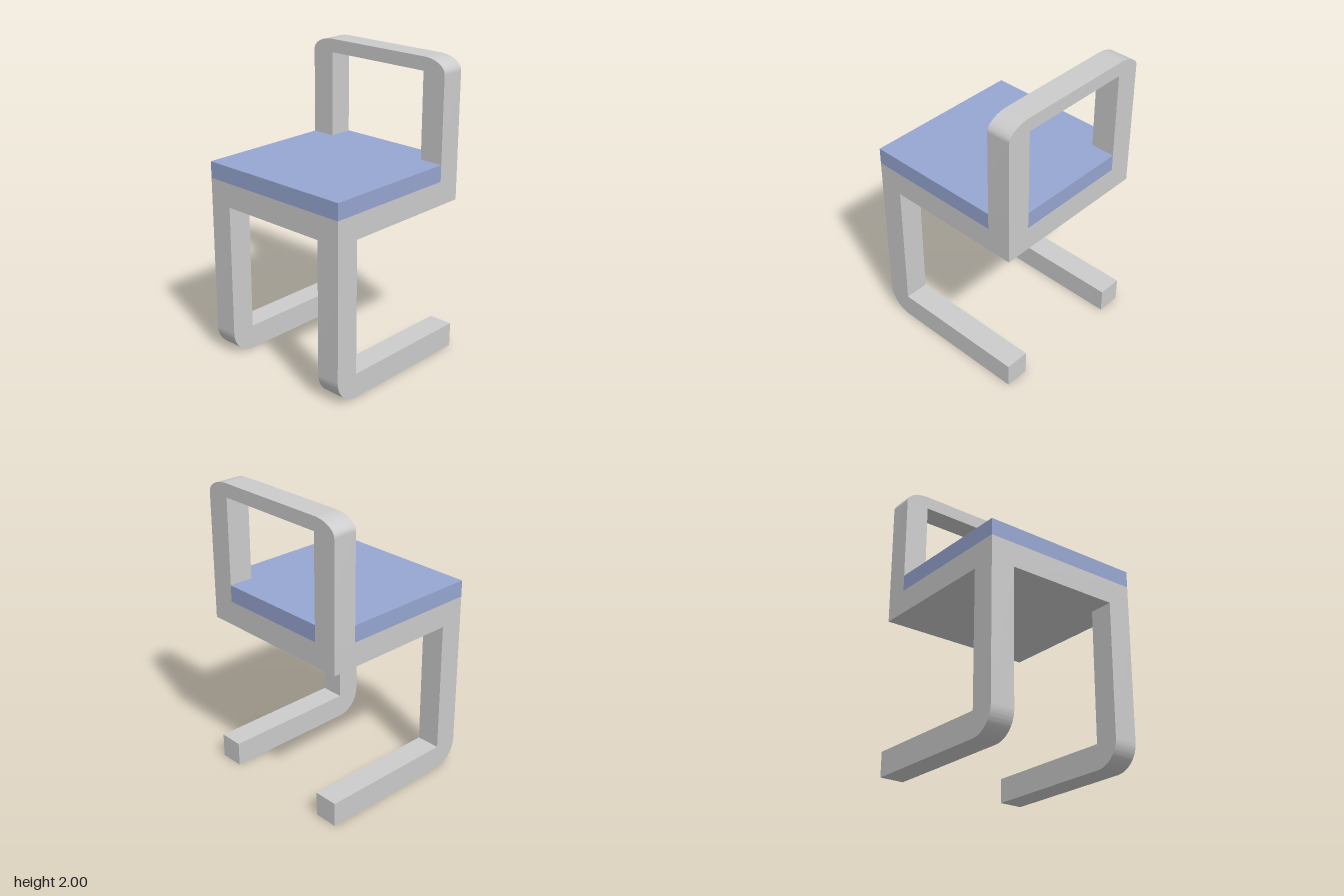
import * as THREE from 'three';
import { toCreasedNormals } from 'three/addons/utils/BufferGeometryUtils.js';

const H = 0.555;    // half width and half depth
const I = 0.39;     // inner face of the bars
const T = H - I;    // bar thickness
const FRAME_Y = 1.06, SEAT_Y = 1.222, SEAT_TOP = 1.333, RAIL_Y = 1.91, TOP = 2;

const frameMat = new THREE.MeshStandardMaterial({ color: 0xcccccc });
const seatMat = new THREE.MeshStandardMaterial({ color: 0x96a6d1 });

// Extrude a shape, keeping rounded corners smooth and edges sharp
function extrude(shape, depth) {
  const geo = new THREE.ExtrudeGeometry(shape, { depth, bevelEnabled: false, curveSegments: 16 });
  return toCreasedNormals(geo, 0.5);
}

function add(group, name, geo, mat) {
  const mesh = new THREE.Mesh(geo, mat);
  mesh.name = name;
  group.add(mesh);
  return mesh;
}

export function createModel() {
  const chair = new THREE.Group();
  chair.name = 'chair';

  // L-shaped legs: front upright, rounded heel, runner going back
  const leg = new THREE.Shape();
  leg.moveTo(-H, 0);
  leg.lineTo(I, 0);
  leg.absellipse(I, T, T, T, -Math.PI / 2, 0, false);
  leg.lineTo(H, FRAME_Y);
  leg.lineTo(I, FRAME_Y);
  leg.lineTo(I, T);
  leg.lineTo(-H, T);
  leg.closePath();
  const legGeo = extrude(leg, T).rotateY(-Math.PI / 2);
  add(chair, 'leftLeg', legGeo, frameMat).position.x = H;
  add(chair, 'rightLeg', legGeo, frameMat).position.x = -I;

  // Slab under the seat
  const slab = add(chair, 'seatFrame', new THREE.BoxGeometry(2 * H, SEAT_Y - FRAME_Y, 2 * H), frameMat);
  slab.position.y = (FRAME_Y + SEAT_Y) / 2;

  // Backrest: inverted U with rounded outer corners
  const back = new THREE.Shape();
  back.moveTo(I, SEAT_Y);
  back.lineTo(H, SEAT_Y);
  back.lineTo(H, RAIL_Y);
  back.absellipse(I, RAIL_Y, T, TOP - RAIL_Y, 0, Math.PI / 2, false);
  back.lineTo(-I, TOP);
  back.absellipse(-I, RAIL_Y, T, TOP - RAIL_Y, Math.PI / 2, Math.PI, false);
  back.lineTo(-H, SEAT_Y);
  back.lineTo(-I, SEAT_Y);
  back.lineTo(-I, RAIL_Y);
  back.lineTo(I, RAIL_Y);
  back.closePath();
  add(chair, 'backrest', extrude(back, T), frameMat).position.z = -H;

  // Seat pad, with a tongue reaching back between the posts
  const pad = new THREE.Shape([
    [-H, -H], [H, -H], [H, I], [I, I], [I, H], [-I, H], [-I, I], [-H, I],
  ].map(([x, y]) => new THREE.Vector2(x, y)));
  const padGeo = extrude(pad, SEAT_TOP - SEAT_Y).rotateX(-Math.PI / 2);
  add(chair, 'seat', padGeo, seatMat).position.y = SEAT_Y;

  return chair;
}
